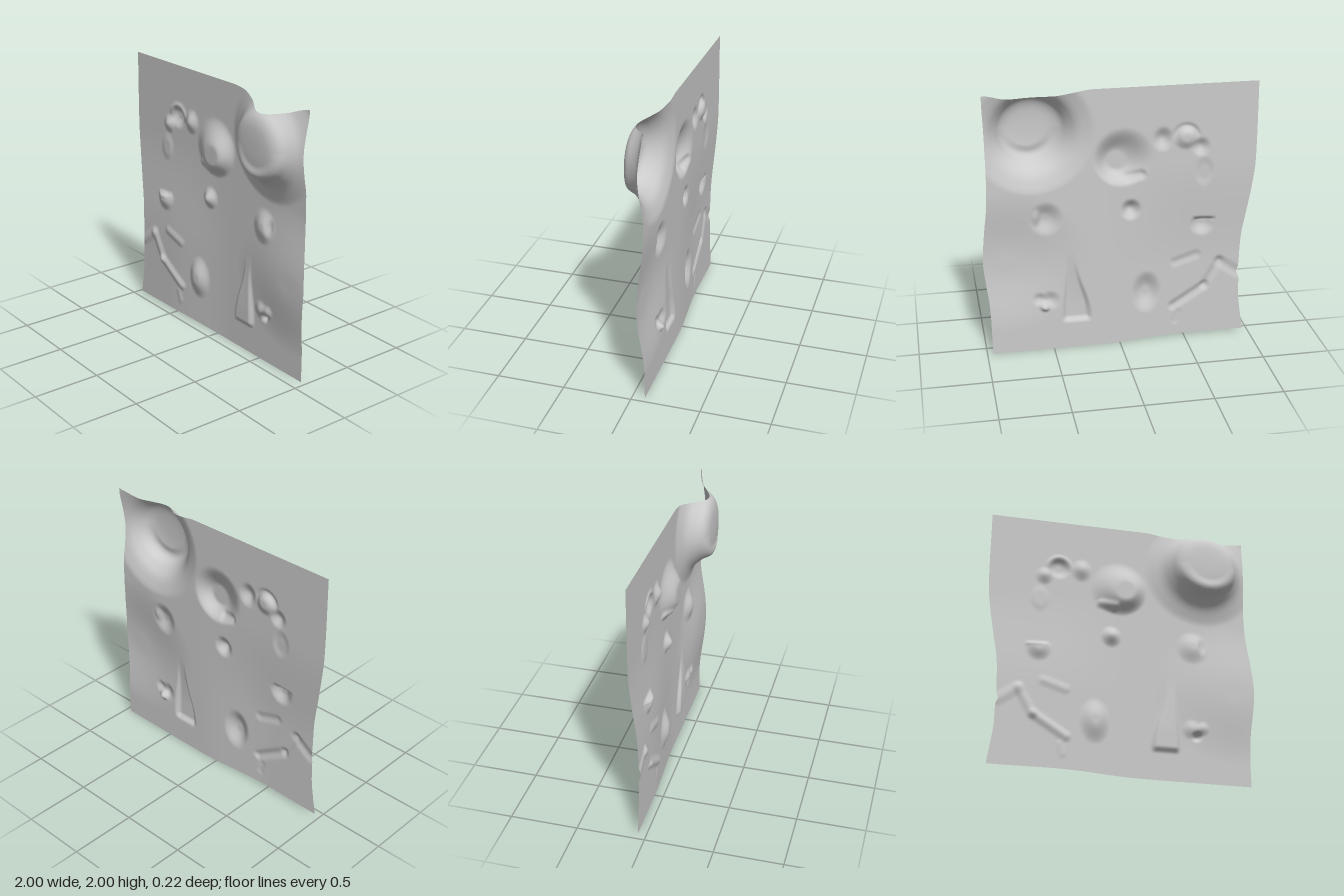
import * as THREE from 'three';

const N = 190; // grid cells per side
const BACK = -0.09; // depth of the flat sheet
const { smoothstep, lerp } = THREE.MathUtils;

// Smooth cubic through [t, value] pairs
function curve(points, t) {
  const last = points.length - 1;
  if (t <= points[0][0]) return points[0][1];
  if (t >= points[last][0]) return points[last][1];
  let i = 0;
  while (t > points[i + 1][0]) i++;
  const slope = (k) => {
    if (k === 0 || k === last) return 0;
    return (points[k + 1][1] - points[k - 1][1]) / (points[k + 1][0] - points[k - 1][0]);
  };
  const [t0, a] = points[i];
  const [t1, b] = points[i + 1];
  const h = t1 - t0;
  const s = (t - t0) / h;
  const s2 = s * s, s3 = s2 * s;
  return a * (2 * s3 - 3 * s2 + 1) + b * (3 * s2 - 2 * s3)
    + h * (slope(i) * (s3 - 2 * s2 + s) + slope(i + 1) * (s3 - s2));
}

// Wavy outline of the sheet
const LEFT = [[0, -0.96], [0.15, -0.94], [0.3, -0.92], [0.46, -0.915], [0.5, -0.9], [0.55, -0.91],
  [0.8, -0.92], [1, -0.95], [1.2, -0.98], [1.4, -1], [2, -1]];
const RIGHT = [[0, 0.96], [0.2, 0.96], [0.4, 0.967], [0.55, 0.985], [0.73, 1], [0.95, 0.985],
  [1.2, 0.96], [1.65, 0.955], [2, 0.965]];
const TOP = [[0.18, 2], [0.3, 1.985], [0.46, 1.945], [0.63, 1.92], [0.78, 1.94], [0.96, 1.992]];
const BOTTOM = [[-1, 0.015], [-0.4, 0.018], [0, 0.003], [0.3, 0]];

// Radial section of the large dome
const DOME = [[0, 0.19], [0.1, 0.187], [0.17, 0.176], [0.22, 0.15], [0.26, 0.1], [0.31, 0.05],
  [0.37, 0.02], [0.45, 0]];

// Small mounds: x, y, radius x, radius y, height, flat core fraction
const MOUNDS = [
  [-0.31, 1.605, 0.085, 0.1, 0.035, 0],
  [-0.59, 1.53, 0.075, 0.08, 0.03, 0],
  [-0.62, 1.34, 0.08, 0.12, 0.008, 0.4],
  [-0.08, 1.08, 0.085, 0.09, 0.045, 0],
  [0.54, 1.05, 0.13, 0.14, 0.036, 0.1],
  [0.61, 1.06, 0.045, 0.08, -0.016, 0],
  [-0.2, 0.4, 0.12, 0.18, 0.042, 0.15],
  [0.52, 0.4, 0.08, 0.08, 0.022, 0],
  [0.6, 0.41, 0.06, 0.06, 0.018, 0],
  [0.56, 0.35, 0.05, 0.045, -0.03, 0],
  [-0.48, 1.61, 0.1, 0.1, -0.028, 0.2],
];

// Ridges: x0, y0, x1, y1, width, height
const RIDGES = [
  [-0.9, 0.5, -0.76, 0.6, 0.06, 0.01],
  [-0.76, 0.6, -0.65, 0.41, 0.05, 0.012],
  [-0.65, 0.41, -0.41, 0.26, 0.05, 0.016],
  [-0.58, 0.67, -0.42, 0.62, 0.05, 0.009],
  [-0.45, 0.2, -0.43, 0.13, 0.04, 0.005],
];

function mound(x, y, [cx, cy, rx, ry, height, core]) {
  return height * (1 - smoothstep(Math.hypot((x - cx) / rx, (y - cy) / ry), core, 1));
}

function ridge(x, y, [x0, y0, x1, y1, width, height]) {
  const dx = x1 - x0, dy = y1 - y0;
  const t = THREE.MathUtils.clamp(((x - x0) * dx + (y - y0) * dy) / (dx * dx + dy * dy), 0, 1);
  return height * (1 - smoothstep(Math.hypot(x - x0 - t * dx, y - y0 - t * dy), 0, width));
}

function relief(x, y) {
  // Broad swells on the lower half
  let z = 0.033 * (1 - smoothstep(y, 0.6, 1.4)) * (1 - smoothstep(x, -0.55, 0.15));
  z += 0.043 * (1 - smoothstep(Math.hypot((x - 0.84) / 0.62, (y - 0.72) / 0.55), 0.1, 1));

  // Large dome, steeper along its lower rim
  const dx = x - 0.64, dy = y - 1.69;
  const r = Math.hypot(dx, dy);
  const down = r > 0 ? Math.max(0, -dy / r) : 0;
  const left = r > 0 ? Math.max(0, -dx / r) : 0;
  const right = r > 0 ? Math.max(0, dx / r) : 0;
  const shift = 0.02 * left - 0.02 * right;
  const height = curve(DOME, Math.max(0, r - shift * smoothstep(r, 0, 0.2)));
  z += height + 0.022 * down * smoothstep(r, 0.13, 0.2) * (1 - smoothstep(r, 0.215, 0.25));

  // Middle dome, steep to the lower right and soft to the upper left
  const mx = x + 0.01, my = y - 1.47;
  const mr = Math.hypot(mx, my);
  const side = mr > 0 ? (mx - my) / (mr * Math.SQRT2) : 0;
  z += 0.075 * (1 - smoothstep(mr, 0.06 + 0.04 * side, 0.225 - 0.02 * side));
  z += ridge(x, y, [-0.16, 1.345, -0.06, 1.32, 0.045, 0.018]);

  // Half-closed pocket with a sharp upper edge
  const px = x + 0.62, py = y - 0.93;
  const pocket = 1 - smoothstep(Math.hypot(px / 0.105, py / 0.11), 0.15, 1);
  z += 0.036 * pocket * (1 - smoothstep(y, 0.945, 0.975));
  z += ridge(x, y, [-0.7, 0.955, -0.56, 0.965, 0.025, 0.008]);

  // Curled rim round the small hollow
  const ring = Math.hypot(x + 0.48, y - 1.61);
  z += 0.012 * (1 - smoothstep(Math.abs(ring - 0.08), 0, 0.035)) * smoothstep(y, 1.57, 1.66);

  // Tapered foot-shaped fold
  const centre = lerp(0.325, 0.365, smoothstep(y, 0.23, 0.75));
  const half = lerp(0.1, 0.03, smoothstep(y, 0.25, 0.7));
  const along = smoothstep(y, 0.205, 0.25) * (1 - smoothstep(y, 0.35, 0.8));
  z += 0.026 * along * (1 - smoothstep(Math.abs(x - centre), half * 0.7, half + 0.015));

  for (const m of MOUNDS) z += mound(x, y, m);
  for (const g of RIDGES) z += ridge(x, y, g);
  return z;
}

export function createModel() {
  const group = new THREE.Group();
  group.name = 'reliefPanel';

  // Fine grid fitted to the outline and pushed forward by the relief
  const geometry = new THREE.PlaneGeometry(2, 2, N, N);
  const position = geometry.attributes.position;
  for (let i = 0; i < position.count; i++) {
    const s = (position.getX(i) + 1) / 2;
    const t = (position.getY(i) + 1) / 2;
    const flatX = lerp(-1, 0.96, s);
    const y = lerp(curve(BOTTOM, flatX), curve(TOP, flatX), t);
    const x = lerp(curve(LEFT, y), curve(RIGHT, y), s);
    position.setXYZ(i, x, y, BACK + relief(x, y));
  }
  geometry.computeVertexNormals();

  const material = new THREE.MeshStandardMaterial({ color: 0xcccccc, side: THREE.DoubleSide });
  const sheet = new THREE.Mesh(geometry, material);
  sheet.name = 'sculptedSheet';
  group.add(sheet);
  return group;
}
